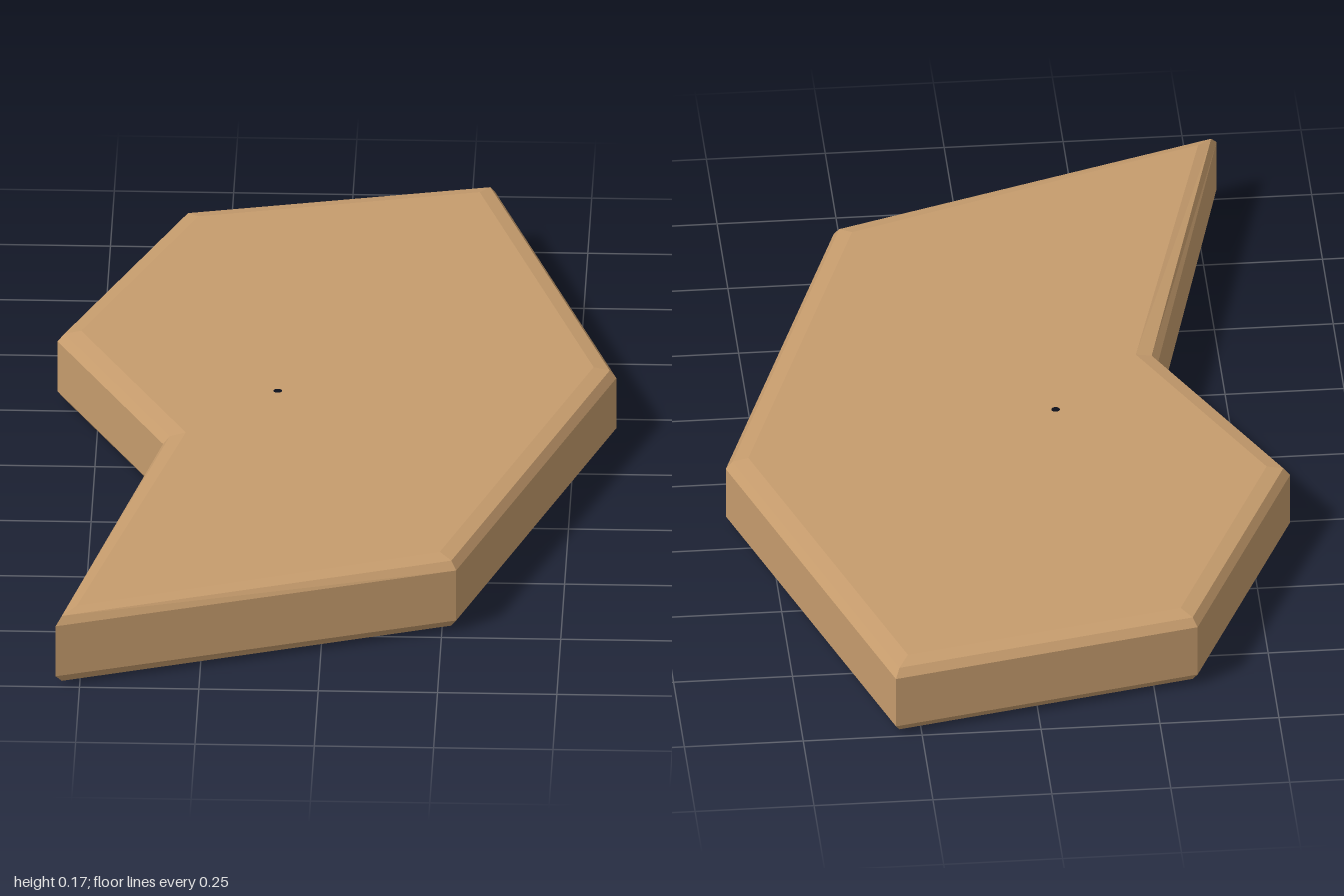
import * as THREE from 'three';

const HEIGHT = 0.168;
const BEVEL = 0.025;   // vertical depth of the rounded edge
const INSET = 0.045;   // how far the rounded edge reaches inwards

// Outline seen from above, as [x, z]
const OUTLINE = [
  [0.305, -1.0], [0.587, -0.162], [0.28, 0.72], [-0.55, 1.0],
  [-0.352, 0.167], [-0.588, -0.291], [-0.342, -0.858],
];

export function createModel() {
  const tan = new THREE.MeshStandardMaterial({ color: 0xc69c6d });
  tan.name = 'tan';

  // Seven-sided plate with a round through hole
  const shape = new THREE.Shape(OUTLINE.map(([x, z]) => new THREE.Vector2(x, -z)));
  const hole = new THREE.Path();
  hole.absarc(-0.118, 0.034, 0.054, 0, Math.PI * 2, true);
  shape.holes.push(hole);

  // Soft bevel on the rim and hole, top and bottom
  const geometry = new THREE.ExtrudeGeometry(shape, {
    depth: HEIGHT - 2 * BEVEL,
    bevelEnabled: true,
    bevelThickness: BEVEL,
    bevelSize: INSET,
    bevelOffset: -INSET,
    bevelSegments: 2,
    curveSegments: 32,
  });
  geometry.rotateX(-Math.PI / 2);
  geometry.translate(0, BEVEL, 0);

  const plate = new THREE.Mesh(geometry, tan);
  plate.name = 'plate';

  const group = new THREE.Group();
  group.name = 'bevelledPlate';
  group.add(plate);
  return group;
}
